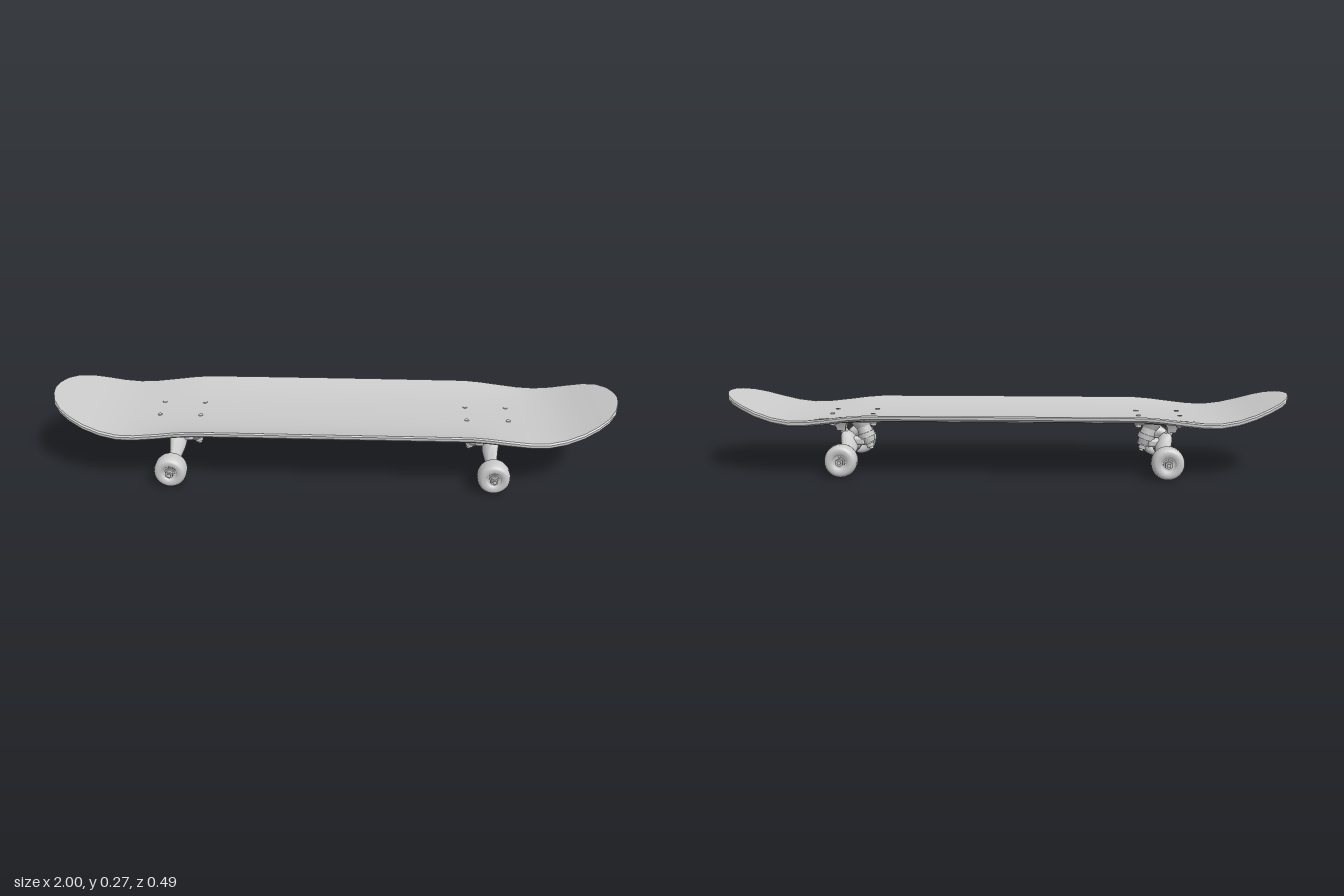
import * as THREE from 'three';
import { toCreasedNormals } from 'three/addons/utils/BufferGeometryUtils.js';
import { RoundedBoxGeometry } from 'three/addons/geometries/RoundedBoxGeometry.js';

const material = new THREE.MeshStandardMaterial({ color: 0xcccccc });

function add(parent, name, geometry, x = 0, y = 0, z = 0) {
  const mesh = new THREE.Mesh(geometry, material);
  mesh.name = name;
  mesh.position.set(x, y, z);
  parent.add(mesh);
  return mesh;
}

// Skin over a row of equal closed loops, capped at both ends
function loft(loops, crease) {
  const n = loops[0].length, pos = [], index = [];
  loops.forEach(l => l.forEach(p => pos.push(...p)));
  for (let i = 0; i < loops.length - 1; i++) {
    for (let j = 0; j < n; j++) {
      const k = (j + 1) % n, a = i * n + j, b = i * n + k;
      index.push(a, b, b + n, a, b + n, a + n);
    }
  }
  const last = (loops.length - 1) * n;
  for (let j = 1; j < n - 1; j++) {
    index.push(0, j + 1, j, last, last + j, last + j + 1);
  }
  const g = new THREE.BufferGeometry();
  g.setAttribute('position', new THREE.Float32BufferAttribute(pos, 3));
  g.setIndex(index);
  return toCreasedNormals(g, crease);
}

// Linear lookup in a list of [key, value...] rows
function sample(rows, key, column = 1) {
  let i = 1;
  while (i < rows.length - 1 && rows[i][0] < key) i++;
  const a = rows[i - 1], b = rows[i];
  const t = THREE.MathUtils.clamp((key - a[0]) / (b[0] - a[0]), 0, 1);
  return a[column] + (b[column] - a[column]) * t;
}

// Half-outline of the deck: distance from middle, half width, top height
const deckRows = [
  [0, 0.234, 0.195], [0.48, 0.233, 0.195], [0.6, 0.231, 0.195], [0.68, 0.228, 0.196],
  [0.74, 0.224, 0.198], [0.8, 0.215, 0.207], [0.86, 0.2, 0.224], [0.91, 0.177, 0.242],
  [0.95, 0.145, 0.256], [0.98, 0.098, 0.266], [0.995, 0.05, 0.271], [1, 0.012, 0.272],
];

function deckGeometry() {
  const xs = [...deckRows.map(r => r[0]), 0.24, 0.54].sort((a, b) => a - b);
  const stations = [...xs.slice(1).reverse().map(x => -x), ...xs];
  const steps = 12, thick = 0.019;
  const loops = stations.map(x => {
    const d = Math.abs(x), w = sample(deckRows, d), y = sample(deckRows, d, 2);
    const dish = 0.027 * (1 - THREE.MathUtils.smoothstep(d, 0.46, 0.74));
    const inner = w - Math.min(0.006, w * 0.3);
    const rise = z => y + dish * Math.pow(Math.abs(z) / w, 2.5);
    const loop = [];
    for (let i = 0; i <= steps; i++) {
      const z = inner * (2 * i / steps - 1);
      loop.push([x, rise(z), z]);
    }
    loop.push([x, rise(w) - 0.005, w], [x, rise(w) - 0.014, w]);
    for (let i = steps; i >= 0; i--) {
      const z = inner * (2 * i / steps - 1);
      loop.push([x, rise(z) - thick, z]);
    }
    loop.push([x, rise(w) - 0.014, -w], [x, rise(w) - 0.005, -w]);
    return loop;
  });
  return loft(loops, 0.5);
}

// Round part between two points of the truck's middle plane
function rod(parent, name, a, b, ra, rb, sides = 20) {
  const from = new THREE.Vector3(a[0], a[1], 0), to = new THREE.Vector3(b[0], b[1], 0);
  const mesh = add(parent, name, new THREE.CylinderGeometry(rb, ra, from.distanceTo(to), sides));
  mesh.position.copy(from).lerp(to, 0.5);
  mesh.quaternion.setFromUnitVectors(new THREE.Vector3(0, 1, 0), to.sub(from).normalize());
  return mesh;
}

// Tapered hanger: z, bottom, top, half depth
const hangerRows = [
  [0, 0.038, 0.128, 0.028], [0.018, 0.038, 0.126, 0.028], [0.03, 0.038, 0.114, 0.028],
  [0.045, 0.038, 0.103, 0.027], [0.07, 0.039, 0.094, 0.025], [0.1, 0.039, 0.087, 0.022],
  [0.14, 0.04, 0.082, 0.02], [0.165, 0.042, 0.078, 0.018], [0.172, 0.045, 0.074, 0.014],
];

function hangerGeometry() {
  const rows = [...hangerRows.slice(1).reverse().map(r => [-r[0], ...r.slice(1)]), ...hangerRows];
  return loft(rows.map(([z, low, high, depth]) => {
    const loop = [];
    for (let i = 0; i < 20; i++) {
      const a = i / 20 * Math.PI * 2;
      const y = (low + high) / 2 + Math.sin(a) * (high - low) / 2;
      loop.push([Math.cos(a) * depth - Math.max(0, y - 0.07) * 0.35, y, z]);
    }
    return loop;
  }), 0.7);
}

// Wheel with rounded shoulders and a recessed core on both sides
function wheelGeometry() {
  const half = [[0.012, 0.024], [0.022, 0.024], [0.025, 0.028], [0.029, 0.034], [0.042, 0.034],
    [0.049, 0.031], [0.054, 0.024], [0.057, 0.012]];
  const profile = [[0, -0.024], ...half.map(([r, h]) => [r, -h]),
    ...half.slice().reverse(), [0, 0.024]];
  const g = new THREE.LatheGeometry(profile.map(p => new THREE.Vector2(...p)), 32);
  return g.rotateX(Math.PI / 2);
}

function crossCylinder(r, length, sides) {
  return new THREE.CylinderGeometry(r, r, length, sides).rotateX(Math.PI / 2);
}

// One truck; its kingpin leans towards +x
function createTruck() {
  const truck = new THREE.Group();
  truck.name = 'truck';
  add(truck, 'basePlate', new RoundedBoxGeometry(0.178, 0.013, 0.13, 2, 0.005), 0.018, 0.171);
  add(truck, 'hanger', hangerGeometry());

  // Pivot cup under the plate and the arm that sits in it
  const cup = loft([[0.128, 0.015, 0.019, -0.033], [0.145, 0.018, 0.024, -0.035], [0.168, 0.028, 0.036, -0.035]]
    .map(([y, dx, dz, x]) => [[x - dx, y, -dz], [x - dx, y, dz], [x + dx, y, dz], [x + dx, y, -dz]]), 0.4);
  add(truck, 'pivotCup', cup);
  rod(truck, 'pivotArm', [0, 0.08], [-0.034, 0.14], 0.02, 0.012);

  // Kingpin seat, bushings, ring and nut
  const at = t => [0.036 + 0.036 * t, 0.168 - 0.104 * t];
  const stack = [
    ['kingpinSeat', 0, 0.24, 0.038, 0.028], ['upperBushing', 0.24, 0.45, 0.025, 0.027],
    ['hangerRing', 0.45, 0.62, 0.031, 0.031], ['lowerBushing', 0.62, 0.8, 0.026, 0.021],
    ['washer', 0.8, 0.84, 0.024, 0.024], ['kingpin', 0.84, 1.04, 0.008, 0.008],
  ];
  for (const [name, t0, t1, r0, r1] of stack) rod(truck, name, at(t0), at(t1), r0, r1);
  rod(truck, 'kingpinNut', at(0.84), at(0.97), 0.015, 0.015, 6);
  add(truck, 'ringBridge', new RoundedBoxGeometry(0.055, 0.03, 0.05, 2, 0.01), 0.024, 0.09);

  // Axle ends and wheels
  add(truck, 'axle', crossCylinder(0.007, 0.494, 12), 0, 0.058);
  for (const side of [-1, 1]) {
    add(truck, 'wheel', wheelGeometry(), 0, 0.058, side * 0.202);
    add(truck, 'bearing', crossCylinder(0.018, 0.006, 20), 0, 0.058, side * 0.227);
    add(truck, 'axleNut', crossCylinder(0.014, 0.012, 6), 0, 0.058, side * 0.236);
  }

  // Mounting bolts through the deck
  for (const x of [-0.056, 0.09]) {
    for (const z of [-0.051, 0.051]) {
      add(truck, 'boltHead', new THREE.CylinderGeometry(0.008, 0.009, 0.004, 12), x, 0.197, z);
      add(truck, 'boltNut', new THREE.CylinderGeometry(0.013, 0.013, 0.01, 6), x, 0.161, z);
      add(truck, 'boltEnd', new THREE.CylinderGeometry(0.006, 0.006, 0.016, 10), x, 0.16, z);
    }
  }
  return truck;
}

export function createModel() {
  const model = new THREE.Group();
  model.name = 'skateboard';
  add(model, 'deck', deckGeometry());
  for (const side of [-1, 1]) {
    const truck = createTruck();
    truck.name = side < 0 ? 'rightTruck' : 'leftTruck';
    truck.position.set(side * 0.563, -0.001, 0);
    if (side > 0) truck.rotation.y = Math.PI;
    model.add(truck);
  }
  return model;
}
